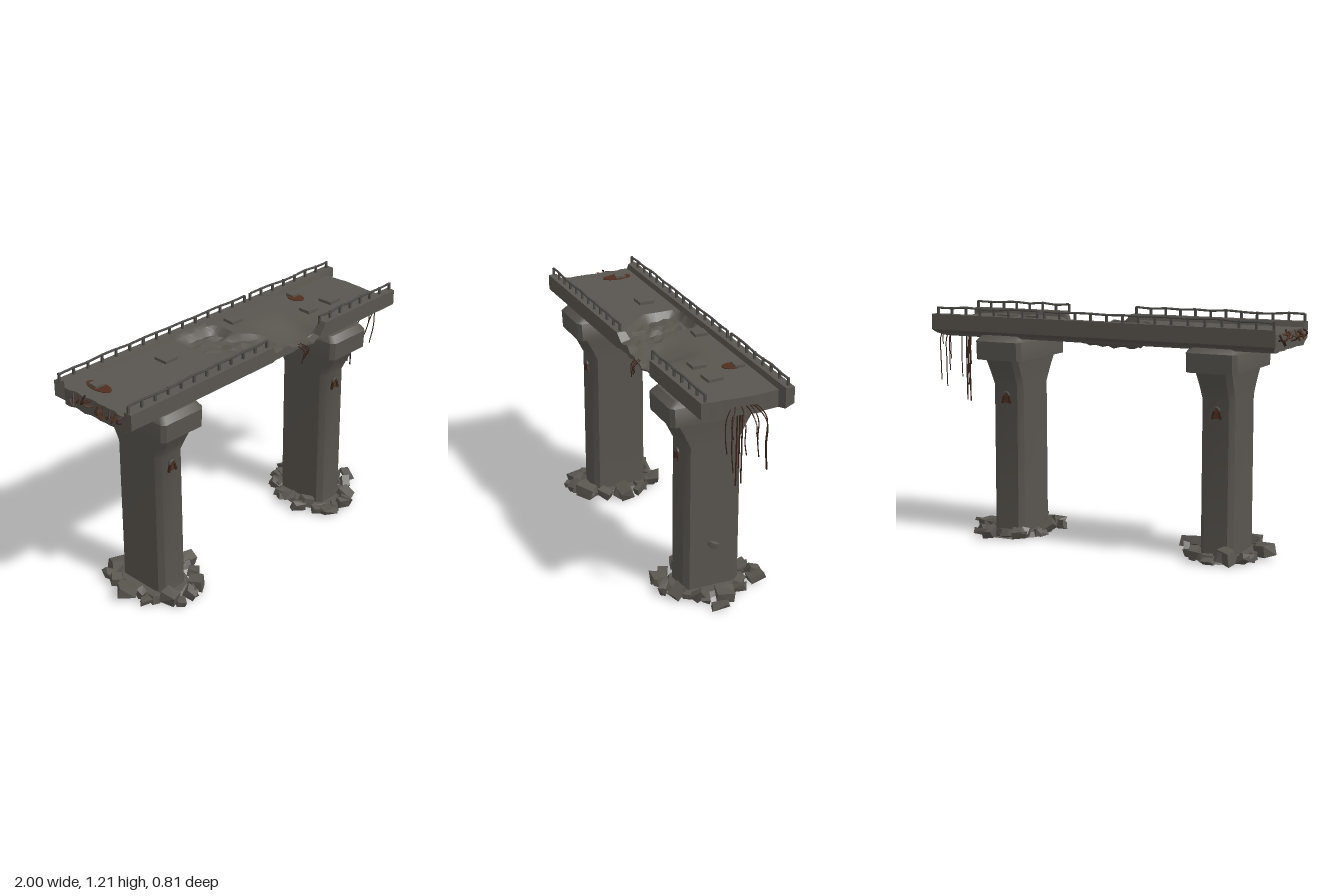
import * as THREE from 'three';
import { toCreasedNormals } from 'three/addons/utils/BufferGeometryUtils.js';
import { ConvexGeometry } from 'three/addons/geometries/ConvexGeometry.js';

const mat = (name, color) => Object.assign(new THREE.MeshStandardMaterial({ color }), { name });
const V = (x, y, z) => new THREE.Vector3(x, y, z);
const lerp = THREE.MathUtils.lerp;

export function createModel() {
  const concrete = mat('concrete', 0x59554f);
  const metal = mat('rail metal', 0x4c4b47);
  const rust = mat('rust', 0x51301f);
  const rebar = mat('rebar', 0x39231a);

  let seed = 7;
  const rnd = (a = 0, b = 1) => {
    seed = (seed * 16807) % 2147483647;
    return a + (b - a) * seed / 2147483647;
  };

  const root = new THREE.Group();
  root.name = 'brokenBridge';
  const bridge = new THREE.Group();
  bridge.name = 'bridge';
  bridge.rotation.y = 0.175;
  root.add(bridge);

  const add = (parent, name, geo, material, x = 0, y = 0, z = 0) => {
    const m = new THREE.Mesh(geo, material);
    m.name = name;
    m.position.set(x, y, z);
    parent.add(m);
    return m;
  };
  const tube = (parent, name, pts, r, material, seg = 12) =>
    add(parent, name, new THREE.TubeGeometry(new THREE.CatmullRomCurve3(pts), seg, r, 5), material);
  const meshFrom = (pos, idx, crease) => {
    const g = new THREE.BufferGeometry();
    g.setAttribute('position', new THREE.Float32BufferAttribute(pos, 3));
    g.setIndex(idx);
    return toCreasedNormals(g, crease);
  };

  // Deck edges taper slightly along the span
  const backEdge = u => lerp(-0.272, -0.253, (u + 0.97) / 1.9);
  const frontEdge = u => lerp(0.24, 0.215, (u + 0.97) / 1.9);
  const step = THREE.MathUtils.smoothstep;

  // How far the road surface has sunk: a jagged collapsed patch and a smooth sag
  const sunk = (u, v) => {
    const low = u < 0 ? -0.19 : lerp(-0.06, 0.15, u / 0.16);
    const high = lerp(-0.02, 0.24, (u + 0.24) / 0.27);
    const inPatch = u > -0.24 && u < 0.16 && v > low && v < high;
    const sag = 0.05 * step(u, 0.06, 0.2) * (1 - step(u, 0.28, 0.4)) * step(v, -0.12, 0.16);
    return Math.max(sag, inPatch ? 0.03 + rnd(-0.012, 0.012) : 0);
  };

  // Deck: columns of top and bottom points, lofted along the span
  const us = [-0.965, -0.8, -0.6, -0.45, -0.3];
  for (let u = -0.25; u < 0.41; u += 0.03) us.push(u);
  us.push(0.5, 0.65, 0.8, 0.928);
  const cols = 17, pos = [], idx = [];
  us.forEach((u, i) => {
    const b = backEdge(u), f = frontEdge(u);
    const broken = u > 0.01 && u < 0.37;
    for (let j = 0; j < cols; j++) {
      const edge = Math.min(j, cols - 1 - j);
      const inner = lerp(b + 0.052, f - 0.052, (j - 2) / (cols - 5));
      let v = edge > 1 ? inner : j < 2 ? b + j * 0.045 : f - (cols - 1 - j) * 0.045;
      let top = edge > 1 ? 1.138 - sunk(u, v) : 1.165;
      let bottom = edge === 0 ? 1.085 : edge === 1 ? 1.065 : 1.052;
      if (broken && j > cols - 3) {
        top = 1.125 - 0.03 * step(u, 0.08, 0.25) + rnd(-0.008, 0.008);
        v -= rnd(0, 0.014);
      }
      if (u > -0.2 && u < 0.13 && edge > 3) bottom -= rnd(0.008, 0.03);
      bottom = Math.min(bottom, top - 0.008);
      let uu = u;
      if (i === 0) uu += rnd(0, 0.025) + (edge > 1 ? 0.01 : 0);
      if (i === us.length - 1 && edge > 1) uu -= 0.045 + rnd(-0.012, 0.012);
      pos.push(uu, top, v, uu, bottom, v);
    }
  });
  const T = (i, j) => (i * cols + j) * 2, B = (i, j) => T(i, j) + 1;
  const quad = (a, b, c, d) => idx.push(a, b, c, a, c, d);
  const n = us.length - 1, e = cols - 1;
  for (let i = 0; i < n; i++) {
    for (let j = 0; j < e; j++) {
      quad(T(i, j), T(i, j + 1), T(i + 1, j + 1), T(i + 1, j));
      quad(B(i, j), B(i + 1, j), B(i + 1, j + 1), B(i, j + 1));
    }
    quad(B(i, e), B(i + 1, e), T(i + 1, e), T(i, e));
    quad(B(i, 0), T(i, 0), T(i + 1, 0), B(i + 1, 0));
  }
  for (let j = 0; j < e; j++) {
    quad(B(n, j), T(n, j), T(n, j + 1), B(n, j + 1));
    quad(B(0, j), B(0, j + 1), T(0, j + 1), T(0, j));
  }
  add(bridge, 'deck', meshFrom(pos, idx, 0.6), concrete);

  // Loft of chamfered rectangles; each ring is [y, length, width, chamfer]
  const loft = rings => {
    const p = [], t = [];
    rings.forEach(([y, a, w, c]) => {
      const x = a / 2, z = w / 2;
      for (const [px, pz] of [[x, z - c], [x, c - z], [x - c, -z], [c - x, -z],
        [-x, c - z], [-x, z - c], [c - x, z], [x - c, z]]) p.push(px, y, pz);
    });
    const last = (rings.length - 1) * 8;
    for (let r = 0; r < last; r += 8)
      for (let k = 0; k < 8; k++) {
        const m = (k + 1) % 8;
        t.push(r + k, r + m, r + 8 + m, r + k, r + 8 + m, r + 8 + k);
      }
    for (let k = 1; k < 7; k++) t.push(0, k + 1, k, last, last + k, last + k + 1);
    return meshFrom(p, t, 0.7);
  };

  // Broken block of concrete resting on the ground
  const chunk = (sx, sy, sz) => {
    const rot = new THREE.Euler(rnd(-0.4, 0.4), rnd(0, 6.28), rnd(-0.4, 0.4));
    const pts = [];
    for (const x of [-1, 1]) for (const y of [-1, 1]) for (const z of [-1, 1])
      pts.push(V(x * sx * rnd(0.55, 1), y * sy * rnd(0.6, 1), z * sz * rnd(0.55, 1)).applyEuler(rot));
    const g = new ConvexGeometry(pts);
    g.computeBoundingBox();
    return g.translate(0, -g.boundingBox.min.y, 0);
  };

  // Piers with flared heads, caps, rusty brackets and rubble
  for (const [pierName, u] of [['leftPier', -0.628], ['rightPier', 0.545]]) {
    const pier = new THREE.Group();
    pier.name = pierName;
    pier.position.x = u;
    bridge.add(pier);
    add(pier, 'column', loft([[0, 0.174, 0.298, 0.025], [0.8, 0.172, 0.296, 0.025],
      [0.87, 0.178, 0.365, 0.025], [0.945, 0.19, 0.445, 0.025]]), concrete);
    add(pier, 'cap', loft([[0.94, 0.265, 0.485, 0.02], [1.035, 0.265, 0.495, 0.02],
      [1.065, 0.23, 0.43, 0.02]]), concrete);
    for (const s of [1, -1]) {
      const bracket = new THREE.Group();
      bracket.name = 'bracket';
      bracket.position.set(0, 0.735, s * 0.15);
      pier.add(bracket);
      add(bracket, 'rustPatch', new THREE.BoxGeometry(0.034, 0.05, 0.006), rust);
      add(bracket, 'ring', new THREE.TorusGeometry(0.016, 0.006, 6, 12, Math.PI), metal, 0, 0.015, 0.005 * s);
      for (const k of [-1, 1]) {
        const leg = add(bracket, 'leg', new THREE.BoxGeometry(0.009, 0.04, 0.012), rebar, k * 0.018, -0.008, 0.004 * s);
        leg.rotation.z = k * 0.25;
      }
    }
    const bed = add(pier, 'rubbleBed', new THREE.CylinderGeometry(0.9, 1, 0.025, 9), concrete, 0, 0.0125, 0);
    bed.scale.set(0.16, 1, 0.22);
    for (let k = 0; k < 24; k++) {
      const a = k / 24 * Math.PI * 2 + rnd(-0.1, 0.1), d = rnd(0.78, 1.05);
      const big = k % 4 === 0 ? 1.45 : 1;
      add(pier, 'rubble', chunk(rnd(0.028, 0.045) * big, rnd(0.013, 0.03) * big, rnd(0.02, 0.036) * big),
        concrete, Math.cos(a) * d * 0.19, 0, Math.sin(a) * d * 0.25);
    }
  }
  add(bridge, 'looseBlock', chunk(0.025, 0.015, 0.025), concrete, 0.64, 0.235, 0);
  add(bridge, 'flatBlock', chunk(0.05, 0.01, 0.03), concrete, 0.81, 0, 0.04);

  // Guard rails: posts with a slightly bent top rail
  const rails = [[-0.95, 0.27, -1], [0.31, 0.9, -1], [-0.94, -0.03, 1], [0.36, 0.915, 1]];
  for (const [from, to, side] of rails) {
    const rail = new THREE.Group();
    rail.name = 'guardRail';
    bridge.add(rail);
    const count = Math.round((to - from) / 0.085), pts = [];
    for (let k = 0; k <= count; k++) {
      const u = lerp(from, to, k / count);
      const v = side < 0 ? backEdge(u) + 0.02 : frontEdge(u) - 0.025;
      const y = 1.2 + rnd(-0.005, 0.004);
      add(rail, 'post', new THREE.BoxGeometry(0.011, 0.045, 0.011), metal, u, 1.18, v);
      pts.push(V(u, y, v));
    }
    tube(rail, 'topRail', pts, 0.006, metal, count * 2);
  }

  // Raised slabs and rust stains on the road, given as [u, v, size]
  const slabs = [[-0.42, -0.094, 0.08], [0.11, -0.163, 0.068], [0.473, 0.023, 0.07],
    [0.636, 0.021, 0.08], [-0.83, -0.126, 0.055], [0.55, -0.157, 0.05]];
  for (const [u, v, s] of slabs) {
    const slab = add(bridge, 'slab', new THREE.BoxGeometry(s, 0.016, s), concrete, u, 1.145, v);
    slab.rotation.y = rnd(-0.08, 0.08);
  }
  for (const [u, v, rx, rz] of [[-0.832, -0.11, 0.037, 0.08], [0.54, -0.128, 0.037, 0.05]]) {
    const stain = add(bridge, 'rustStain', new THREE.CylinderGeometry(1, 1, 0.006, 14), rust, u, 1.139, v);
    stain.scale.set(rx, 1, rz);
  }

  // Torn bars curling out of the left end
  for (let k = 0; k < 9; k++) {
    const v = -0.16 + k * 0.042, y = rnd(1.08, 1.13);
    tube(bridge, 'tornBar', [V(-0.92, y, v), V(-0.965, y + 0.01, v + rnd(-0.02, 0.02)),
      V(-0.968, y + rnd(-0.03, 0.035), v + rnd(-0.03, 0.03)), V(-0.945, y + 0.035, v)],
    0.005, k % 2 ? rust : rebar);
  }
  for (const dz of [0, 0.02, 0.035])
    tube(bridge, 'tornBar', [V(0.18 + dz, 1.1, 0.2), V(0.2 + dz, 1.08, 0.24), V(0.19 + dz, 1.01 + dz, 0.235)], 0.003, rebar);

  // Bars hanging from the right end: straight ones, then drooping arcs
  for (const [z, end] of [[-0.15, 0.68], [-0.163, 0.77], [-0.175, 0.69]])
    tube(root, 'straightBar', [V(0.83, 1.09, z), V(0.842, 1.05, z), V(0.843, 0.9, z), V(0.84, end, z)], 0.0038, rebar);
  const arcs = [[0.9, -0.275, 0.77], [0.955, -0.26, 0.8], [0.995, -0.2, 0.98], [0.985, -0.15, 0.9],
    [0.95, -0.1, 0.8], [0.9, -0.085, 0.87], [0.92, -0.23, 0.85], [0.88, -0.12, 0.93]];
  for (const [x, z, end] of arcs) {
    const z0 = lerp(-0.17, z, 0.35);
    tube(root, 'droopingBar', [V(0.82, 1.09, z0), V(lerp(0.84, x, 0.5), 1.09, lerp(z0, z, 0.5)),
      V(x - 0.01, 1.04, z), V(x, lerp(1.04, end, 0.5), z + 0.005), V(x - 0.015, end, z - 0.008)], 0.0028, rebar, 18);
  }
  return root;
}
